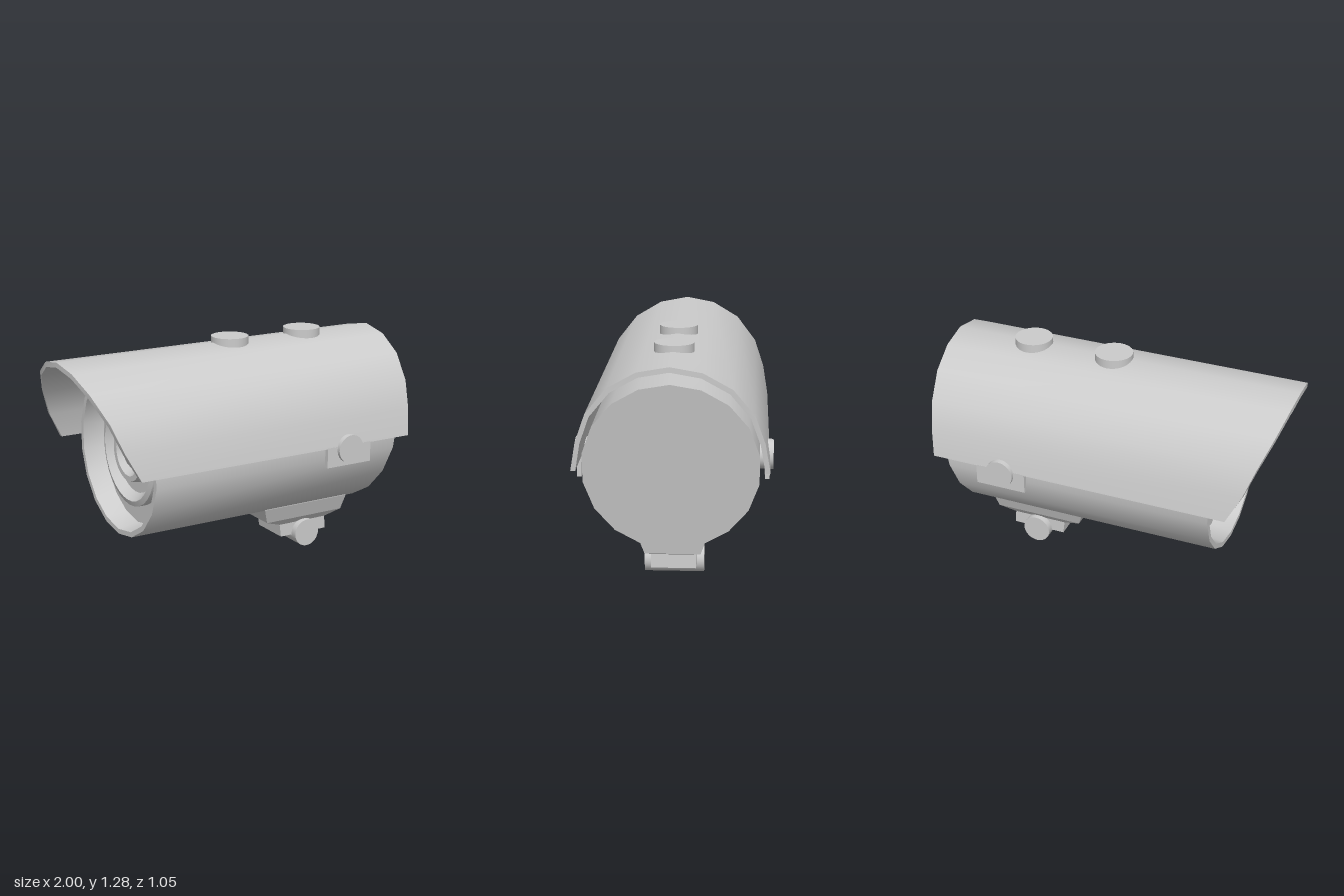
import * as THREE from 'three';
import { toCreasedNormals } from 'three/addons/utils/BufferGeometryUtils.js';

const mat = new THREE.MeshStandardMaterial({ color: 0xcccccc, side: THREE.DoubleSide });
const AXIS_Y = 0.696;

function add(group, name, geo, x = 0, y = 0, z = 0) {
  const mesh = new THREE.Mesh(geo, mat);
  mesh.name = name;
  mesh.position.set(x, y, z);
  group.add(mesh);
  return mesh;
}

// geometry from a list of quads, each four corners
function fromQuads(quads, crease) {
  const pos = [];
  for (const [a, b, c, d] of quads) pos.push(...a, ...b, ...c, ...a, ...c, ...d);
  const geo = new THREE.BufferGeometry();
  geo.setAttribute('position', new THREE.Float32BufferAttribute(pos, 3));
  return toCreasedNormals(geo, crease);
}

// turned part lying along x; profile is [radius, distance toward the lens end]
function turned(profile, sides) {
  const pts = profile.map(([r, h]) => new THREE.Vector2(r, h));
  return new THREE.LatheGeometry(pts, sides, Math.PI / 2).rotateZ(Math.PI / 2);
}

// housing with slanted rear face and hollow front
function housing() {
  const geo = turned([[0, -0.89], [0.458, -0.89], [0.458, 0.66], [0.43, 0.66],
    [0.41, 0.54], [0, 0.54]], 18);
  const p = geo.attributes.position;
  for (let i = 0; i < p.count; i++) {
    if (p.getX(i) > 0.5) p.setX(i, 0.89 + 0.174 * p.getY(i));
  }
  return toCreasedNormals(geo, 0.5);
}

// curved sun shield: [z, y, front x, rear x] from the side up to the ridge
function shield() {
  const half = [[0.505, 0.695, -0.77, 0.94], [0.478, 0.85, -0.85, 0.955],
    [0.425, 1.0, -0.905, 0.97], [0.315, 1.135, -0.96, 0.985],
    [0.165, 1.22, -0.99, 0.995], [0, 1.25, -1, 1]];
  const outer = [...half, ...half.slice(0, -1).reverse().map(([z, y, f, r]) => [-z, y, f, r])];
  const inner = outer.map(([z, y, f, r]) => [z * 0.95, 0.695 + (y - 0.695) * 0.95, f, r]);
  const front = ([z, y, f]) => [f, y, z];
  const rear = ([z, y, , r]) => [r, y, z];
  const loop = [...outer, ...inner.slice().reverse()];
  const quads = loop.map((a, i) => {
    const b = loop[(i + 1) % loop.length];
    return [front(a), rear(a), rear(b), front(b)];
  });
  for (let i = 0; i < outer.length - 1; i++) {
    const edge = [outer[i], outer[i + 1], inner[i + 1], inner[i]];
    quads.push(edge.map(front), edge.map(rear).reverse());
  }
  return fromQuads(quads, 0.4);
}

// bracket from stacked rectangles: [y, min x, max x, half depth]
function bracket() {
  const rings = [[0.07, 0.335, 0.645, 0.12], [0.145, 0.325, 0.64, 0.12],
    [0.183, 0.22, 0.735, 0.148], [0.275, 0.185, 0.75, 0.18], [0.31, 0.185, 0.75, 0.18]]
    .map(([y, a, b, d]) => [[a, y, d], [b, y, d], [b, y, -d], [a, y, -d]]);
  const quads = [rings[0].slice().reverse(), rings[rings.length - 1]];
  for (let i = 0; i < rings.length - 1; i++) {
    for (let k = 0; k < 4; k++) {
      const n = (k + 1) % 4;
      quads.push([rings[i][k], rings[i][n], rings[i + 1][n], rings[i + 1][k]]);
    }
  }
  return fromQuads(quads, 0.1);
}

export function createModel() {
  const model = new THREE.Group();
  model.name = 'securityCamera';

  add(model, 'housing', housing(), 0, AXIS_Y);
  add(model, 'sunShield', shield());

  // stepped lens rings and domed glass inside the hollow front
  const lens = turned([[0.3, 0.53], [0.3, 0.59], [0.27, 0.6], [0.23, 0.55], [0.17, 0.55],
    [0.16, 0.6], [0.13, 0.6], [0.1, 0.565]], 32);
  add(model, 'lensRings', toCreasedNormals(lens, 0.4), 0, AXIS_Y);
  const glass = turned([[0.1, 0.565], [0.075, 0.585], [0.04, 0.597], [0, 0.6]], 32);
  add(model, 'lensGlass', glass, 0, AXIS_Y);

  // knobs on the ridge
  for (const x of [0.055, 0.535]) {
    add(model, 'topKnob', new THREE.CylinderGeometry(0.105, 0.105, 0.07, 32), x, 1.245, 0);
  }

  // side tabs with their screws
  for (const s of [1, -1]) {
    add(model, 'sideTab', new THREE.BoxGeometry(0.29, 0.115, 0.025), 0.53, 0.642, s * 0.4925);
    const screw = new THREE.CylinderGeometry(0.08, 0.08, 0.08, 32).rotateX(Math.PI / 2);
    add(model, 'sideScrew', screw, 0.53, 0.68, s * 0.485);
  }

  // mounting bracket and hinge pin
  add(model, 'mountBracket', bracket());
  const pin = new THREE.CylinderGeometry(0.08, 0.08, 0.32, 32).rotateX(Math.PI / 2);
  add(model, 'hingePin', pin, 0.49, 0.08, 0);

  return model;
}
